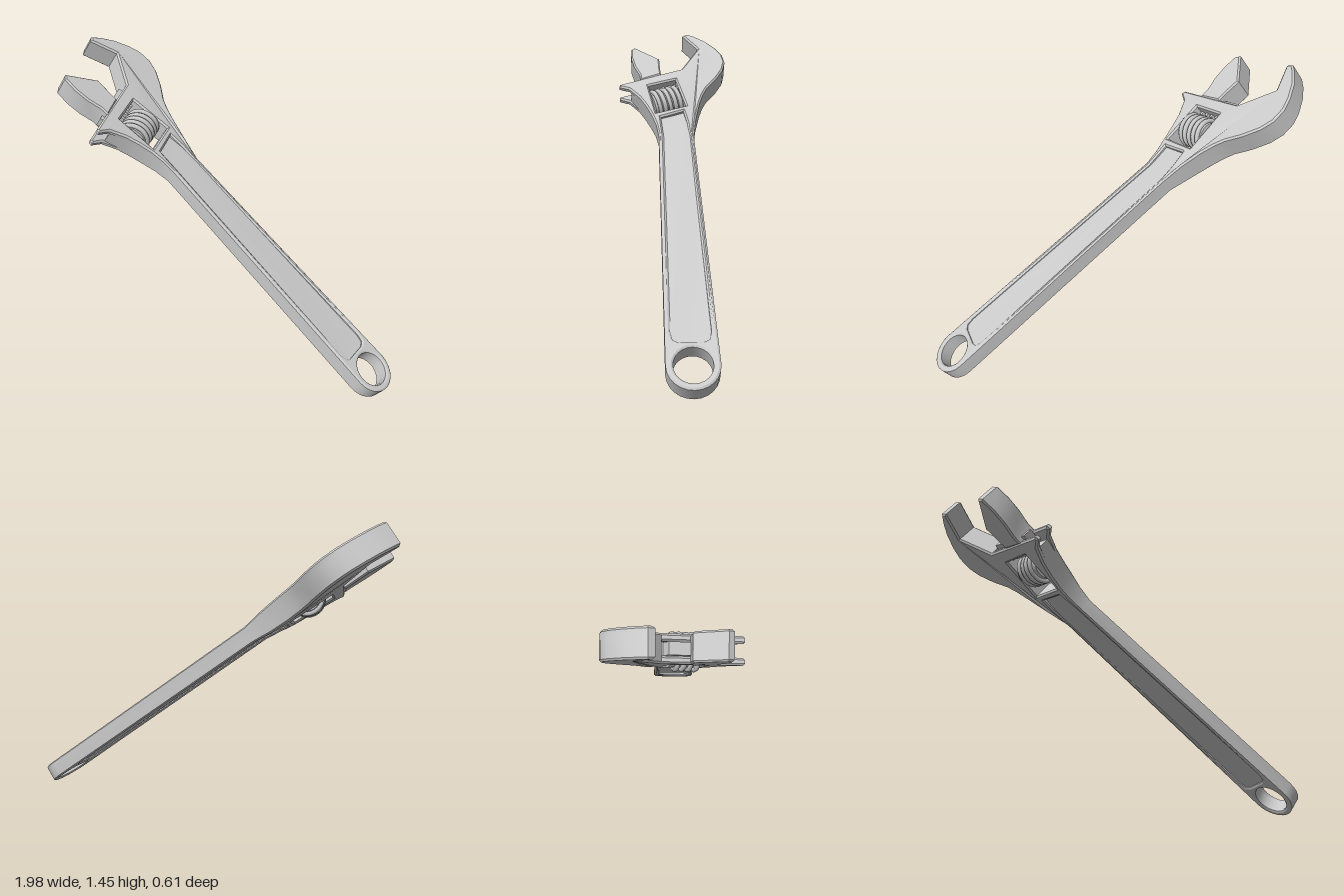
import * as THREE from 'three';
import { toCreasedNormals } from 'three/addons/utils/BufferGeometryUtils.js';

const HEAD = 0.064, HANDLE = 0.044; // half thicknesses
const SLIDE = 0.385;                // angle of the jaw slide to the z axis

const toPath = (pts, Type) => new Type(pts.map(([x, z]) => new THREE.Vector2(x, z)));

function arc(cx, cz, r, from, to, n) {
  return Array.from({ length: n + 1 }, (_, i) => {
    const a = from + (to - from) * i / n;
    return [cx + r * Math.cos(a), cz + r * Math.sin(a)];
  });
}

// Extrudes an (x, z) outline between two heights; the neck thins towards the handle
function plate(outline, holes, y0, y1, bevel) {
  const shape = toPath(outline, THREE.Shape);
  shape.holes = holes.map(h => toPath(h, THREE.Path));
  const geo = new THREE.ExtrudeGeometry(shape, {
    depth: y1 - y0 - 2 * bevel, bevelEnabled: bevel > 0, bevelThickness: bevel,
    bevelSize: bevel, bevelOffset: -bevel, bevelSegments: 1
  });
  geo.rotateX(Math.PI / 2).translate(0, y1 - bevel, 0);
  const p = geo.attributes.position;
  for (let i = 0; i < p.count; i++) {
    const t = THREE.MathUtils.clamp((p.getX(i) + 0.5) / 0.17, 0, 1);
    p.setY(i, p.getY(i) * THREE.MathUtils.lerp(HEAD, HANDLE, t) / HEAD);
  }
  geo.computeVertexNormals();
  return toCreasedNormals(geo, 0.5);
}

export function createModel() {
  const group = new THREE.Group();
  const wrench = new THREE.Group();
  wrench.name = 'adjustableWrench';
  group.add(wrench);
  const mat = new THREE.MeshStandardMaterial({ color: 0xcccccc });
  const add = (name, geo, parent = wrench) => {
    const m = new THREE.Mesh(geo, mat);
    m.name = name;
    parent.add(m);
    return m;
  };

  // Outline pieces: throat of the fixed jaw, slide prong, handle, back of the jaw
  const throat = [[-1.165, -0.07], [-1.04, -0.155], [-0.86, -0.054]];
  const prong = [[-0.725, 0.3], [-0.705, 0.302], [-0.685, 0.245]];
  const channel = [[-0.814, -0.073], [-0.684, 0.235]];
  const rest = [
    [-0.617, 0.19], [-0.55, 0.155], [-0.48, 0.125], [-0.41, 0.102], [-0.33, 0.088],
    ...arc(1.065, -0.03, 0.12, Math.PI / 2, -Math.PI / 2, 12),
    [-0.33, -0.1], [-0.45, -0.117], [-0.57, -0.143], [-0.64, -0.165], [-0.69, -0.188],
    [-0.768, -0.245], [-0.85, -0.29], [-0.92, -0.307], [-0.99, -0.296], [-1.05, -0.262],
    [-1.115, -0.205], [-1.16, -0.145], [-1.185, -0.097]
  ];
  const window_ = [[-0.714, 0.14], [-0.767, -0.016], [-0.547, -0.066], [-0.493, 0.1]];
  const ring = arc(1.065, -0.03, 0.088, 0, Math.PI * 2 * 23 / 24, 23);
  const recess = [
    [-0.46, 0.075], [-0.505, -0.05], [-0.42, -0.068], [-0.33, -0.076],
    [0.9, -0.118], [0.94, -0.108], [0.953, -0.08], [0.953, 0.03], [0.94, 0.055],
    [0.9, 0.064], [-0.33, 0.062]
  ];

  // Core layer: leaves the slide channel open and forms the floor of the handle recess
  add('bodyCore', plate([...throat, ...channel, ...rest], [window_, ring], -0.045, 0.045, 0));

  // Outer layers, top and bottom, with the raised handle rim
  const full = [...throat, ...prong, ...rest];
  add('upperBody', plate(full, [window_, recess, ring], 0.03, HEAD, 0.009));
  add('lowerBody', plate(full, [window_, recess, ring], -HEAD, -0.03, 0.009));

  // Movable jaw
  const jaw = new THREE.Group();
  jaw.name = 'movableJaw';
  wrench.add(jaw);
  add('jawBlock', plate([
    [-1.055, 0.215], [-0.95, 0.074], [-0.86, 0.07], [-0.811, 0.066], [-0.763, 0.182],
    [-0.81, 0.188], [-0.88, 0.218], [-0.958, 0.236], [-1.035, 0.238]
  ], [], -HEAD, HEAD, 0.008), jaw);

  // Jaw stem and its rack teeth, lying in the channel
  const stem = new THREE.Group();
  stem.name = 'jawStem';
  stem.position.set(-0.783, 0, 0.075);
  stem.rotation.y = SLIDE;
  jaw.add(stem);
  add('stemBar', new THREE.BoxGeometry(0.07, 0.056, 0.25), stem).position.x = -0.01;
  for (let i = 0; i < 5; i++) {
    add('rackTooth', new THREE.BoxGeometry(0.04, 0.05, 0.014), stem)
      .position.set(0.04, 0, -0.07 + i * 0.034);
  }

  // Worm screw in the window
  const worm = new THREE.Group();
  worm.name = 'wormScrew';
  worm.position.set(-0.635, 0, 0.042);
  worm.rotation.y = SLIDE - 0.06;
  wrench.add(worm);
  const core = new THREE.CylinderGeometry(0.07, 0.07, 0.16, 24).rotateX(Math.PI / 2);
  add('wormCore', core, worm);
  const helix = [];
  const turns = 4.5;
  for (let i = 0; i <= turns * 16; i++) {
    const a = i / 16 * Math.PI * 2;
    helix.push(new THREE.Vector3(0.077 * Math.cos(a), 0.077 * Math.sin(a),
      -0.068 + 0.136 * i / (turns * 16)));
  }
  add('wormThread', new THREE.TubeGeometry(new THREE.CatmullRomCurve3(helix), 180, 0.0125, 6), worm);
  add('wormPin', new THREE.CylinderGeometry(0.02, 0.02, 0.2, 12).rotateX(Math.PI / 2), worm);

  // Lean the tool with the handle end on the ground
  wrench.rotation.z = -0.6186;
  wrench.position.set(0.006, 0.724, 0);
  return group;
}
